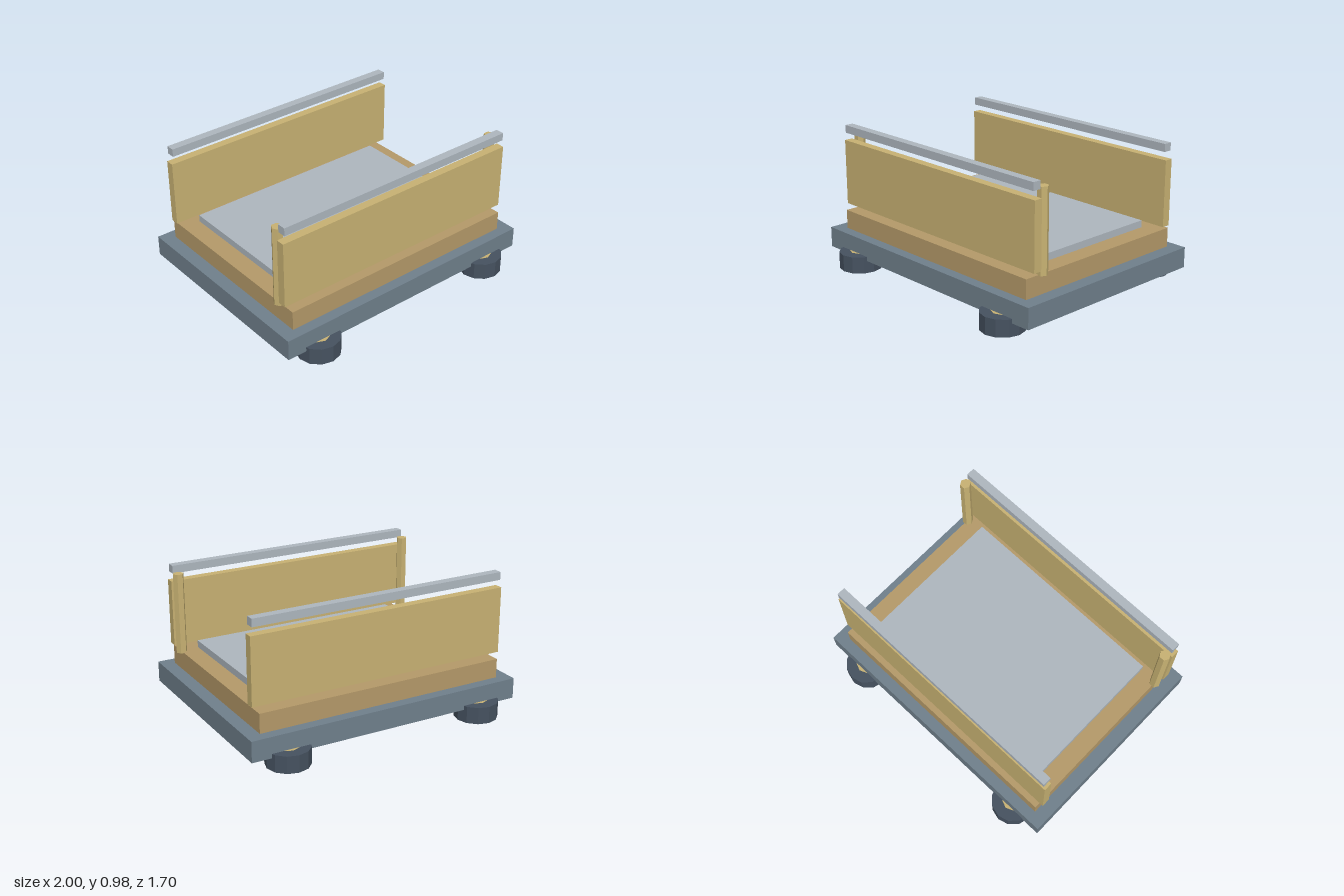
import * as THREE from 'three';

const paint = (color) => new THREE.MeshStandardMaterial({ color, flatShading: true });

export function createModel() {
  const model = new THREE.Group();
  model.name = 'flatCart';
  const slate = paint(0x70808c), wood = paint(0xb59a69), brass = paint(0xc8b273);
  const steel = paint(0xaeb7bf), rubber = paint(0x465260);

  const add = (name, geometry, material, x, y, z) => {
    const mesh = new THREE.Mesh(geometry, material);
    mesh.name = name;
    mesh.position.set(x, y, z);
    model.add(mesh);
    return mesh;
  };
  // Box centred on x, spanning y0..y1
  const slab = (name, material, width, y0, y1, depth, z = 0) =>
    add(name, new THREE.BoxGeometry(width, y1 - y0, depth), material, 0, (y0 + y1) / 2, z);
  // Upright prism spanning y0..y1
  const prism = (name, material, radius, sides, x, y0, y1, z) =>
    add(name, new THREE.CylinderGeometry(radius, radius, y1 - y0, sides), material, x, (y0 + y1) / 2, z);

  // Stacked platform
  slab('base', slate, 2, 0.09, 0.235, 1.5);
  slab('deck', wood, 1.81, 0.235, 0.37, 1.35);
  slab('topPlate', steel, 1.55, 0.37, 0.42, 1.105);

  for (const side of [1, -1]) {
    // Side panel with a rail floating above it
    slab('sidePanel', brass, 1.875, 0.405, 0.87, 0.06, side * 0.61);
    slab('rail', steel, 1.85, 0.925, 0.98, 0.06, side * 0.61);

    // Hexagonal posts stand behind the front panel only
    prism('post', brass, 0.038, 6, side * 0.903, 0.365, 0.935, 0.536).rotation.y = Math.PI / 6;

    // Wheels lying flat under the corners, with brass hubs
    for (const end of [1, -1]) {
      prism('wheel', rubber, 0.15, 12, side * 0.725, 0.001, 0.12, end * 0.7);
      prism('hub', brass, 0.075, 8, side * 0.725, 0, 0.121, end * 0.7);
    }
  }
  return model;
}
